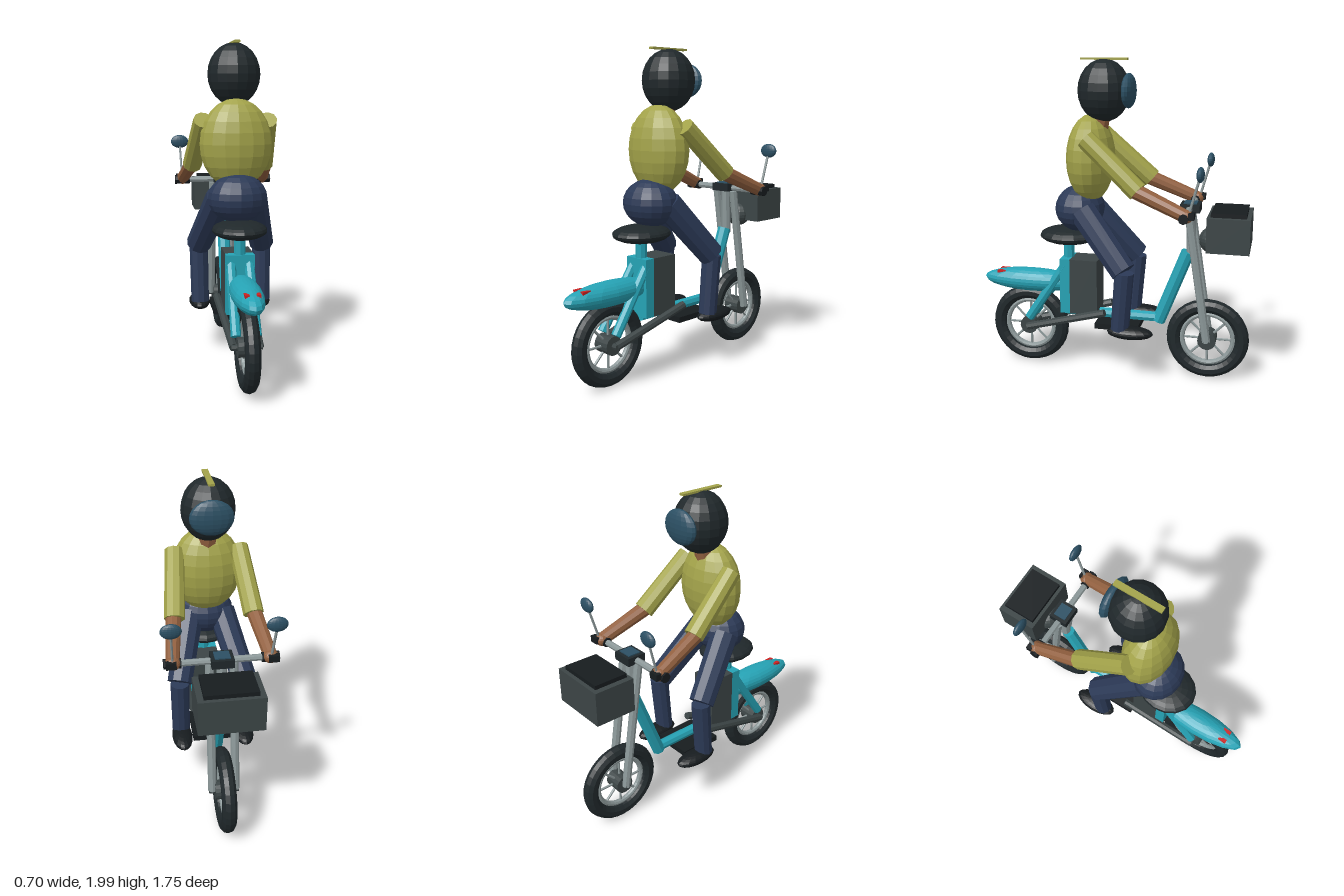
import * as THREE from 'three';

const mat = (color) => new THREE.MeshStandardMaterial({ color, flatShading: true });
const M = {
  teal: mat(0x26a3b5), shirt: mat(0xa3a34a), navy: mat(0x2c3a57), dark: mat(0x20282b),
  black: mat(0x171c1f), skin: mat(0x92603f), glass: mat(0x2c5064), metal: mat(0x8c9899),
  grey: mat(0x3c4546), red: mat(0xcc2222),
};
const V = (x, y, z) => new THREE.Vector3(x, y, z);

export function createModel() {
  const root = new THREE.Group();

  const add = (name, geo, material, pos = [0, 0, 0], parent = root) => {
    const m = new THREE.Mesh(geo, material);
    m.name = name;
    m.position.set(...pos);
    parent.add(m);
    return m;
  };
  const box = (name, material, size, pos) => add(name, new THREE.BoxGeometry(...size), material, pos);
  const ball = (name, material, radii, pos) =>
    add(name, new THREE.SphereGeometry(1, 16, 12).scale(...radii), material, pos);
  // tapered rod between two points
  const rod = (name, material, a, b, rA, rB = rA, sides = 8, parent = root) => {
    const p = V(...a), q = V(...b), d = q.clone().sub(p);
    const m = add(name, new THREE.CylinderGeometry(rB, rA, d.length(), sides), material,
      p.clone().add(q).multiplyScalar(0.5).toArray(), parent);
    m.quaternion.setFromUnitVectors(V(0, 1, 0), d.normalize());
    return m;
  };

  // wheels
  const wheel = (name, z) => {
    const g = new THREE.Group();
    g.name = name;
    g.position.set(0, 0.27, z);
    root.add(g);
    add('tyre', new THREE.TorusGeometry(0.215, 0.045, 10, 32).rotateY(Math.PI / 2), M.dark, [0, 0, 0], g);
    add('rim', new THREE.TorusGeometry(0.162, 0.017, 8, 32).rotateY(Math.PI / 2), M.metal, [0, 0, 0], g);
    rod('hub', M.grey, [-0.055, 0, 0], [0.055, 0, 0], 0.058, 0.058, 16, g);
    rod('axle', M.grey, [-0.09, 0, 0], [0.09, 0, 0], 0.02, 0.02, 8, g);
    for (let i = 0; i < 8; i++) {
      const a = (i * Math.PI) / 4, c = Math.cos(a), s = Math.sin(a);
      rod('spoke', M.metal, [0, c * 0.04, s * 0.04], [0, c * 0.16, s * 0.16], 0.008, 0.008, 6, g);
    }
  };
  wheel('rearWheel', 0.56);
  wheel('frontWheel', -0.615);

  // frame
  rod('seatTube', M.teal, [0, 0.38, 0.29], [0, 0.88, 0.29], 0.035);
  rod('floorTube', M.teal, [0, 0.385, 0.3], [0, 0.385, -0.3], 0.033);
  rod('downTube', M.teal, [0, 0.36, -0.3], [0, 0.83, -0.48], 0.042);
  box('batteryBack', M.teal, [0.17, 0.36, 0.065], [0, 0.57, 0.297]);
  box('battery', M.grey, [0.17, 0.36, 0.18], [0, 0.57, 0.175]);
  box('footDeck', M.black, [0.26, 0.035, 0.28], [0, 0.337, -0.05]);
  ball('rearFender', M.teal, [0.09, 0.076, 0.33], [0, 0.575, 0.545]);
  ball('saddle', M.dark, [0.165, 0.056, 0.19], [0, 0.895, 0.285]);

  // cargo box and headlight
  box('cargoBox', M.grey, [0.37, 0.21, 0.255], [0, 0.985, -0.732]);
  box('cargoLid', M.black, [0.3, 0.03, 0.21], [0, 1.1, -0.73]);
  ball('headlight', M.grey, [0.09, 0.08, 0.075], [0, 0.915, -0.62]);

  // steering
  rod('steeringColumn', M.metal, [0, 0.8, -0.5], [0, 1.1, -0.49], 0.03);
  rod('handlebar', M.metal, [-0.31, 1.11, -0.487], [0.31, 1.11, -0.487], 0.02);
  box('display', M.dark, [0.13, 0.05, 0.12], [0, 1.115, -0.49]);
  box('displayScreen', M.glass, [0.09, 0.01, 0.08], [0, 1.142, -0.49]);

  // paired parts of the scooter and rider
  for (const s of [1, -1]) {
    rod('seatStay', M.teal, [s * 0.055, 0.72, 0.29], [s * 0.06, 0.33, 0.55], 0.03);
    rod('swingArm', M.grey, [s * 0.075, 0.27, 0.56], [s * 0.105, 0.42, 0.03], 0.025);
    rod('fork', M.metal, [s * 0.07, 0.27, -0.615], [s * 0.07, 1.09, -0.485], 0.026);
    rod('grip', M.black, [s * 0.23, 1.11, -0.487], [s * 0.33, 1.11, -0.487], 0.03);
    box('brakeLever', M.black, [0.06, 0.04, 0.035], [s * 0.29, 1.125, -0.53]);
    rod('mirrorStem', M.metal, [s * 0.28, 1.12, -0.51], [s * 0.29, 1.35, -0.572], 0.008, 0.008, 6);
    ball('mirror', M.glass, [0.06, 0.045, 0.023], [s * 0.29, 1.365, -0.575]);
    box('tailLight', M.red, [0.025, 0.02, 0.055], [s * 0.032, 0.622, 0.745]);

    rod('thigh', M.navy, [s * 0.1, 1.075, 0.17], [s * 0.205, 0.735, -0.115], 0.088, 0.08, 10);
    rod('shin', M.navy, [s * 0.205, 0.73, -0.12], [s * 0.2, 0.36, -0.092], 0.06, 0.057, 10);
    ball('shoe', M.black, [0.066, 0.04, 0.145], [s * 0.2, 0.343, -0.155]);
    rod('sleeve', M.shirt, [s * 0.195, 1.535, 0.12], [s * 0.235, 1.24, -0.205], 0.06, 0.062, 10);
    rod('forearm', M.skin, [s * 0.24, 1.245, -0.19], [s * 0.278, 1.12, -0.49], 0.047, 0.04, 10);
    ball('hand', M.skin, [0.045, 0.04, 0.045], [s * 0.278, 1.118, -0.495]);
  }

  // rider body and helmet
  ball('hips', M.navy, [0.18, 0.147, 0.155], [0, 1.075, 0.212]);
  ball('torso', M.shirt, [0.22, 0.272, 0.148], [0, 1.393, 0.14]);
  rod('neck', M.skin, [0, 1.58, 0.09], [0, 1.7, 0.07], 0.06);
  ball('helmet', M.dark, [0.162, 0.188, 0.162], [0, 1.808, 0.055]);
  ball('visor', M.glass, [0.13, 0.105, 0.042], [0, 1.808, -0.098]);
  box('helmetStripe', M.shirt, [0.036, 0.012, 0.29], [0, 1.994, 0.055]);

  return root;
}
